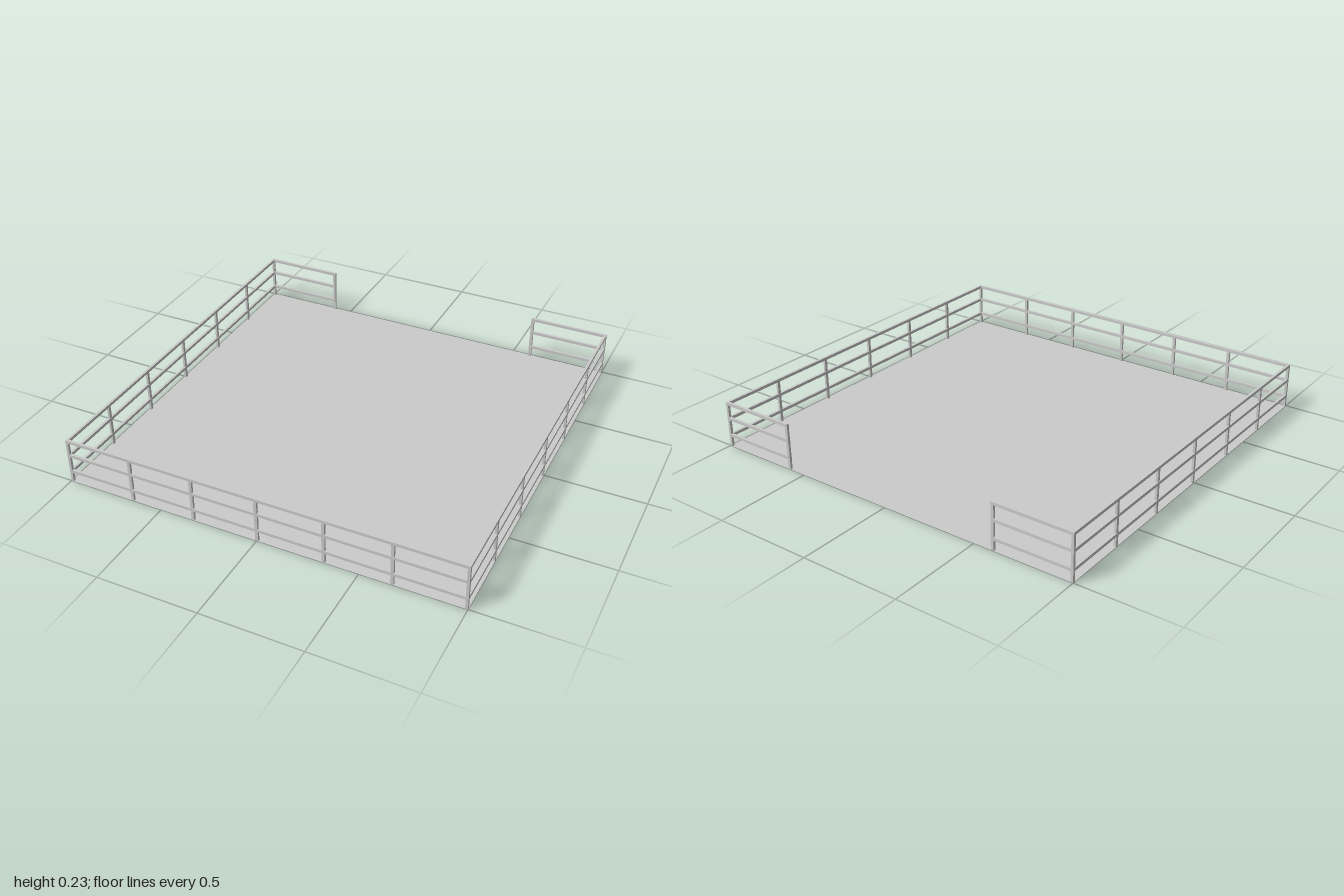
import * as THREE from 'three';

const T = 0.013;        // bar thickness
const E = 1 - T / 2;    // fence centre line
const TOP = 0.235;
const RAILS = [0.058, 0.148, TOP - 0.0075];

export function createModel() {
  const model = new THREE.Group();
  const material = new THREE.MeshStandardMaterial({ color: 0xcccccc });

  const bar = (group, name, w, h, d, x, y, z) => {
    const mesh = new THREE.Mesh(new THREE.BoxGeometry(w, h, d), material);
    mesh.name = name;
    mesh.position.set(x, y, z);
    group.add(mesh);
  };

  // Fence run along local x, with posts at the given places
  const fence = (name, from, to, posts) => {
    const group = new THREE.Group();
    group.name = name;
    for (const y of RAILS) {
      bar(group, 'rail', to - from, 0.015, T, (from + to) / 2, y, 0);
    }
    const h = TOP - 0.015;
    for (const x of posts) bar(group, 'post', 0.015, h, T * 0.9, x, h / 2, 0);
    model.add(group);
    return group;
  };

  // Ground sheet
  const floor = new THREE.Mesh(
    new THREE.PlaneGeometry(2, 2),
    new THREE.MeshStandardMaterial({ color: 0xcccccc, side: THREE.DoubleSide })
  );
  floor.name = 'floor';
  floor.rotation.x = -Math.PI / 2;
  model.add(floor);

  // Front fence
  fence('frontFence', -1, 1, [-0.655, -0.33, 0, 0.33, 0.655]).position.z = E;

  // Side fences, and short back fences either side of the opening
  for (const [s, side] of [[1, 'left'], [-1, 'right']]) {
    const run = fence(side + 'Fence', -1 + T, 1 - T, [-0.667, -0.333, 0, 0.333, 0.667]);
    run.rotation.y = Math.PI / 2;
    run.position.x = s * E;

    const ends = [s * 0.588, s].sort((a, b) => a - b);
    fence(side + 'BackFence', ends[0], ends[1], [s * 0.5955]).position.z = -E;

    // Corner posts
    for (const z of [-E, E]) bar(model, 'cornerPost', T, TOP, T, s * E, TOP / 2, z);
  }

  return model;
}
